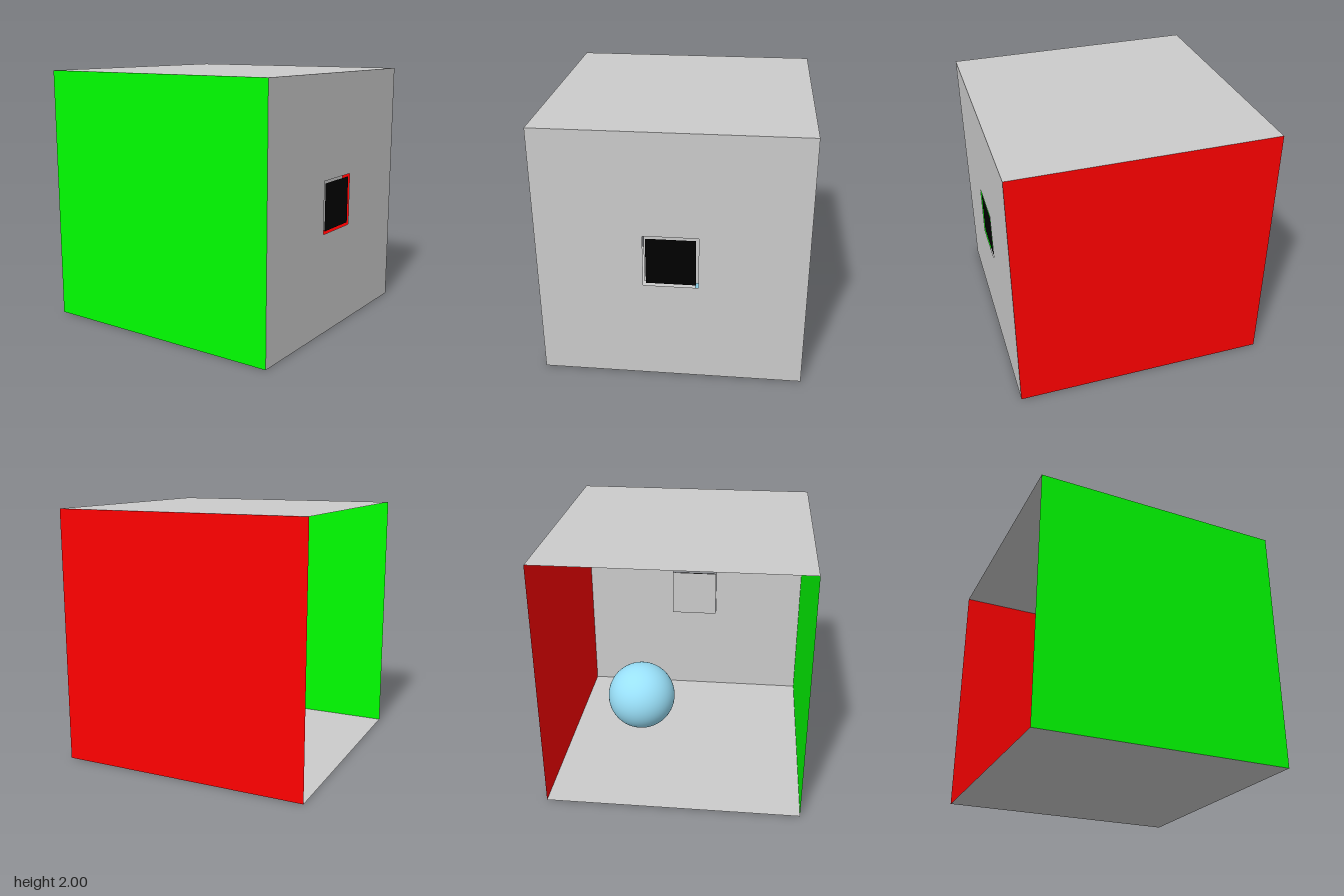
import * as THREE from 'three';

const material = (color, side = THREE.DoubleSide) =>
  new THREE.MeshStandardMaterial({ color, side });

export function createModel() {
  const room = new THREE.Group();
  room.name = 'room';
  const grey = material(0xcccccc);
  const square = new THREE.PlaneGeometry(2, 2);

  const add = (name, geometry, mat, position, rotation = [0, 0, 0]) => {
    const mesh = new THREE.Mesh(geometry, mat);
    mesh.name = name;
    mesh.position.set(...position);
    mesh.rotation.set(...rotation);
    room.add(mesh);
  };

  // Floor, ceiling and coloured side walls; the back stays open
  const q = Math.PI / 2;
  add('floor', square, grey, [0, 0, 0], [-q, 0, 0]);
  add('ceiling', square, grey, [0, 2, 0], [q, 0, 0]);
  add('leftWall', square, material(0xff0000), [1, 1, 0], [0, -q, 0]);
  add('rightWall', square, material(0x00ff00), [-1, 1, 0], [0, q, 0]);

  // Front wall with a square opening
  const rectangle = (Type, h) => new Type([
    new THREE.Vector2(-h, -h), new THREE.Vector2(h, -h),
    new THREE.Vector2(h, h), new THREE.Vector2(-h, h),
  ]);
  const wall = rectangle(THREE.Shape, 1);
  wall.holes.push(rectangle(THREE.Path, 0.205));
  add('frontWall', new THREE.ShapeGeometry(wall), grey, [0, 1, 1]);

  // Dark panel set in the opening, with a grey plate just behind it
  add('openingPanel', new THREE.PlaneGeometry(0.37, 0.37), material(0x000000), [0, 1, 0.998]);
  add('backingPlate', new THREE.PlaneGeometry(0.41, 0.41), grey, [0, 1, 0.94]);

  // Ball resting on the floor
  add('ball', new THREE.SphereGeometry(0.3, 48, 32),
    material(0x9ae1fa, THREE.FrontSide), [0.41, 0.3, 0.19]);

  return room;
}
